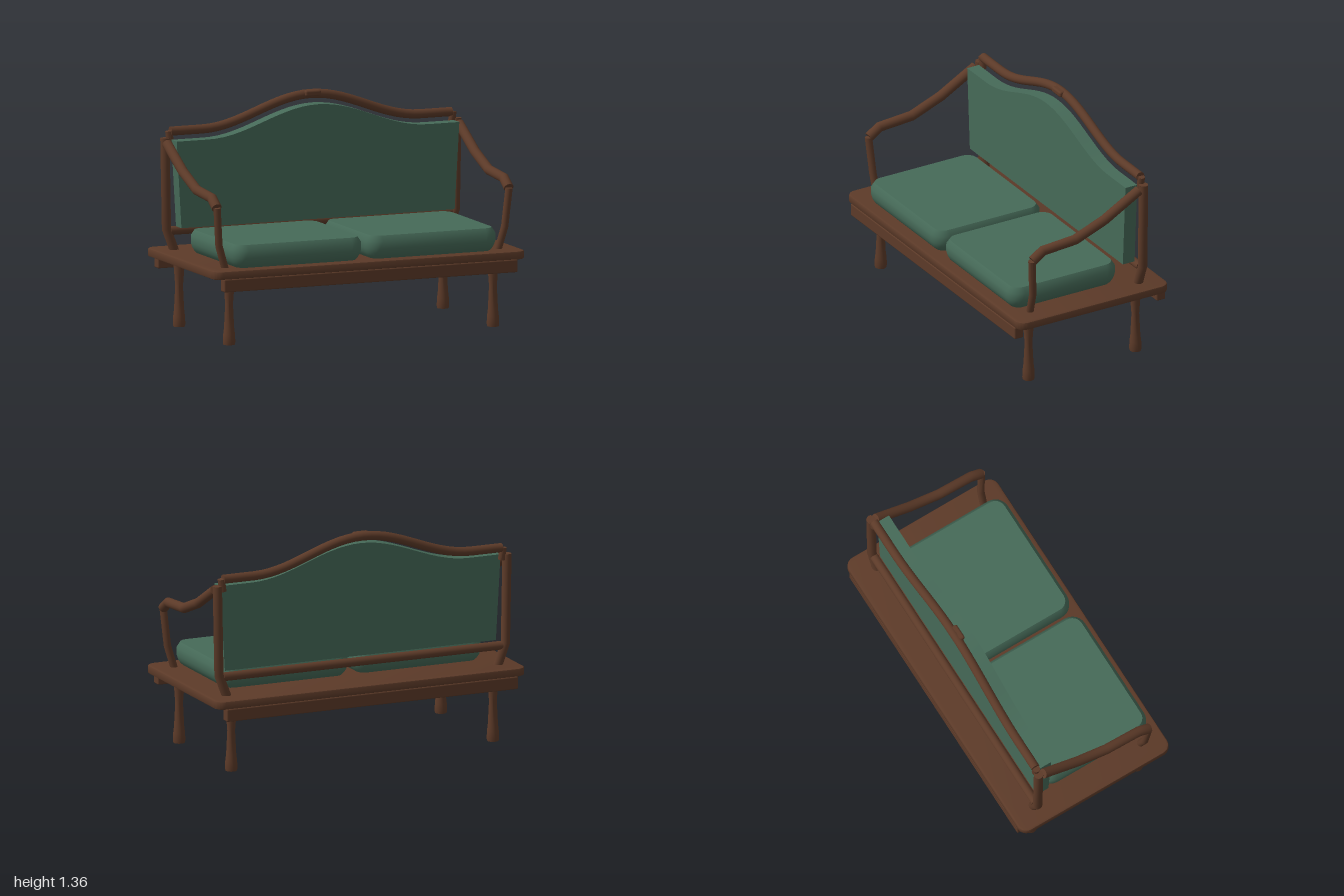
import * as THREE from 'three';
import { mergeGeometries, toCreasedNormals } from 'three/addons/utils/BufferGeometryUtils.js';
import { RoundedBoxGeometry } from 'three/addons/geometries/RoundedBoxGeometry.js';

const wood = new THREE.MeshStandardMaterial({ color: 0x5c3a28 });
const fabric = new THREE.MeshStandardMaterial({ color: 0x466a58 });

// Curve that passes straight through its points, with mitred corners
class Polyline extends THREE.Curve {
  constructor(points) {
    super();
    this.points = points.map(p => new THREE.Vector3(...p));
  }
  getPoint(t, target = new THREE.Vector3()) {
    const n = this.points.length - 1, i = Math.min(Math.floor(t * n + 1e-6), n - 1);
    return target.lerpVectors(this.points[i], this.points[i + 1], t * n - i);
  }
  getPointAt(u, target) { return this.getPoint(u, target); }
  getTangentAt(u, target = new THREE.Vector3()) {
    const p = this.points, n = p.length - 1, i = Math.round(u * n);
    target.set(0, 0, 0);
    if (i > 0) target.add(p[i].clone().sub(p[i - 1]).normalize());
    if (i < n) target.add(p[i + 1].clone().sub(p[i]).normalize());
    return target.normalize();
  }
}

// Round bar along a polyline, closed with a disc at both ends
function bar(points, radius, sides = 14) {
  const curve = new Polyline(points), n = points.length - 1;
  const parts = [new THREE.TubeGeometry(curve, n, radius, sides, false)];
  for (const u of [0, 1]) {
    const out = curve.getTangentAt(u).multiplyScalar(u ? 1 : -1);
    const cap = new THREE.CircleGeometry(radius, sides);
    cap.applyQuaternion(new THREE.Quaternion().setFromUnitVectors(new THREE.Vector3(0, 0, 1), out));
    const end = curve.getPointAt(u);
    parts.push(cap.translate(end.x, end.y, end.z));
  }
  return toCreasedNormals(mergeGeometries(parts), 0.7);
}

function roundedRect(w, d, r) {
  const s = new THREE.Shape(), x = w / 2 - r, y = d / 2 - r;
  s.absarc(x, y, r, 0, Math.PI / 2);
  s.absarc(-x, y, r, Math.PI / 2, Math.PI);
  s.absarc(-x, -y, r, Math.PI, Math.PI * 1.5);
  s.absarc(x, -y, r, Math.PI * 1.5, Math.PI * 2);
  s.closePath();
  return s;
}

// Cushion: rounded rectangles stacked as [height, inset], closed top and bottom
function cushionGeometry(w, d, r, levels) {
  const pos = [], index = [];
  const q = 7, ring = q * 4;
  for (const [y, inset] of levels) {
    for (let c = 0; c < 4; c++) for (let k = 0; k < q; k++) {
      const a = (c + k / (q - 1)) * Math.PI / 2, rr = r - inset;
      const sx = c === 0 || c === 3 ? 1 : -1, sz = c < 2 ? 1 : -1;
      pos.push(sx * (w / 2 - r) + rr * Math.cos(a), y, sz * (d / 2 - r) + rr * Math.sin(a));
    }
  }
  const top = levels.length - 1;
  for (let l = 0; l < top; l++) for (let i = 0; i < ring; i++) {
    const a = l * ring + i, b = l * ring + (i + 1) % ring;
    index.push(a, a + ring, b, b, a + ring, b + ring);
  }
  for (let i = 1; i < ring - 1; i++) {
    index.push(0, i, i + 1);
    index.push(top * ring, top * ring + i + 1, top * ring + i);
  }
  const g = new THREE.BufferGeometry();
  g.setAttribute('position', new THREE.Float32BufferAttribute(pos, 3));
  g.setIndex(index);
  return toCreasedNormals(g, 0.65);
}

export function createModel() {
  const group = new THREE.Group();
  const add = (name, geometry, material, x = 0, y = 0, z = 0) => {
    const mesh = new THREE.Mesh(geometry, material);
    mesh.name = name;
    mesh.position.set(x, y, z);
    group.add(mesh);
    return mesh;
  };

  // Seat board with rounded corners
  const board = new THREE.ExtrudeGeometry(roundedRect(1.98, 1.01, 0.05), {
    depth: 0.03, bevelThickness: 0.01, bevelSize: 0.01, bevelSegments: 2, curveSegments: 6,
  });
  board.rotateX(-Math.PI / 2);
  add('seatBoard', toCreasedNormals(board, 0.6), wood, 0, 0.42, 0);

  // Aprons, cross rails and turned legs under the board
  const legProfile = [[0, 0], [0.034, 0], [0.037, 0.015], [0.035, 0.06], [0.03, 0.1], [0.023, 0.24],
    [0.032, 0.36], [0.035, 0.412], [0, 0.412]].map(p => new THREE.Vector2(...p));
  const leg = toCreasedNormals(new THREE.LatheGeometry(legProfile, 16), 0.6);
  for (const s of [1, -1]) {
    add(s > 0 ? 'frontApron' : 'backApron', new RoundedBoxGeometry(1.88, 0.077, 0.06, 2, 0.008), wood, 0, 0.374, s * 0.485);
    add('crossRail', new THREE.BoxGeometry(0.05, 0.057, 0.93), wood, s * 0.33, 0.384, 0);
    for (const z of [0.365, -0.365]) add(z > 0 ? 'frontLeg' : 'backLeg', leg, wood, s * 0.845, 0, z);
  }

  // Two seat cushions
  const cushion = cushionGeometry(0.83, 0.73, 0.085,
    [[0, 0.035], [0.015, 0.02], [0.035, 0.008], [0.06, 0], [0.105, 0], [0.138, 0.022]]);
  for (const s of [1, -1]) add('seatCushion', cushion, fabric, s * 0.43, 0.46, 0.103);

  // Arms, arm posts and back posts
  for (const s of [1, -1]) {
    add('armrest', bar([[0.39, 0.82], [0.32, 0.868], [0.1, 0.884], [-0.1, 0.962], [-0.335, 1.095]]
      .map(([z, y]) => [s * 0.935, y, z]), 0.03), wood);
    add('armPost', bar([[s * 0.87, 0.44, 0.372], [s * 0.915, 0.59, 0.377], [s * 0.935, 0.82, 0.395]], 0.022), wood);
    add('backPost', bar([[s * 0.87, 0.44, -0.367], [s * 0.925, 0.585, -0.367], [s * 0.935, 1.125, -0.367]], 0.028), wood);
    add('postJoint', bar([[s * 0.9, 1.09, -0.367], [s * 0.91, 1.165, -0.367]], 0.022), wood);
  }

  // Curved top rail with its small crest, and the lower rail
  const rise = x => 0.5 + 0.5 * Math.cos(Math.PI * Math.min(1, Math.abs(x) / 0.7));
  const railPoints = [];
  for (let i = 0; i <= 36; i++) {
    const x = -0.9 + i * 0.05;
    railPoints.push([x, 1.163 + 0.166 * rise(x), -0.367]);
  }
  add('topRail', bar(railPoints, 0.027), wood);
  add('crest', new RoundedBoxGeometry(0.1, 0.036, 0.045, 2, 0.012), wood, 0, 1.335, -0.348);
  add('lowerRail', bar([[-0.9, 0.572, -0.367], [0.9, 0.572, -0.367]], 0.026), wood);

  // Upholstered back panel following the top rail
  const outline = new THREE.Shape();
  outline.moveTo(-0.875, 0.6);
  outline.lineTo(0.875, 0.6);
  for (let i = 0; i <= 36; i++) {
    const x = 0.905 * (1 - i / 18);
    outline.lineTo(x, 1.116 + 0.164 * rise(x));
  }
  outline.closePath();
  const panel = new THREE.ExtrudeGeometry(outline, { depth: 0.08, bevelEnabled: false });
  add('backPanel', toCreasedNormals(panel, 0.5), fabric, 0, 0, -0.342);

  return group;
}
